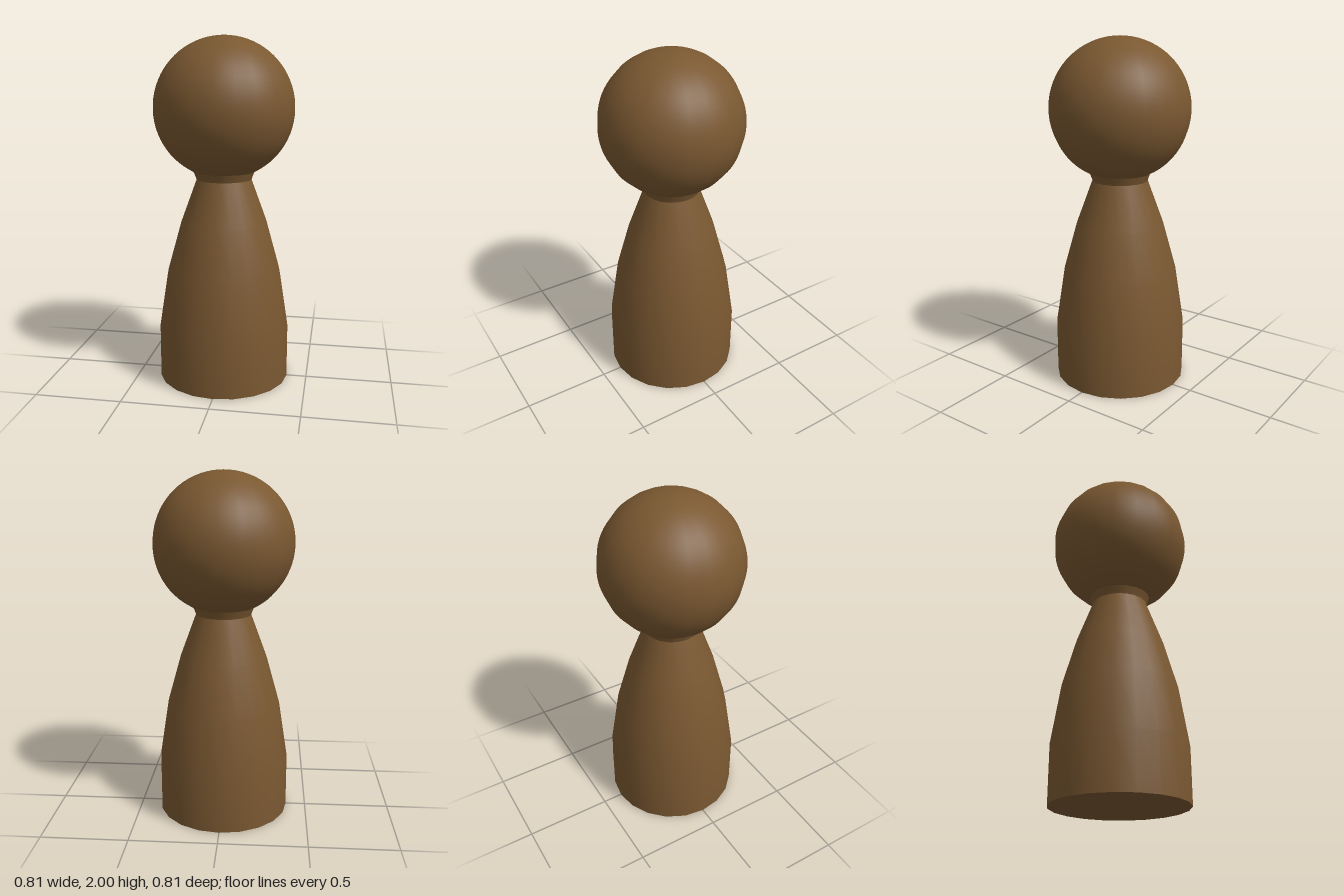
import * as THREE from 'three';

export function createModel() {
  const group = new THREE.Group();
  const wood = new THREE.MeshStandardMaterial({ color: 0x7a5831 });
  wood.name = 'brown wood';
  const sides = 20;

  const add = (name, geometry, y = 0) => {
    const mesh = new THREE.Mesh(geometry, wood);
    mesh.name = name;
    mesh.position.y = y;
    group.add(mesh);
    return mesh;
  };
  const lathe = (points) =>
    new THREE.LatheGeometry(points.map(([r, y]) => new THREE.Vector2(r, y)), sides);

  // Tapering body, straight at the foot and narrow at the neck
  add('body', lathe([[0.383, 0], [0.383, 0.32], [0.33, 0.66], [0.252, 0.94], [0.16, 1.19]]));

  // Flat underside
  add('base', new THREE.CircleGeometry(0.383, sides)).rotation.x = Math.PI / 2;

  // Small flare where the neck meets the head
  add('neck', lathe([[0.16, 1.19], [0.165, 1.205], [0.177, 1.235]]));

  // Round head, open where it sits on the neck
  const radius = 0.403;
  const opening = Math.asin(0.177 / radius);
  add('head', new THREE.SphereGeometry(radius, sides, 32, 0, Math.PI * 2, 0, Math.PI - opening), 2 - radius);

  return group;
}
